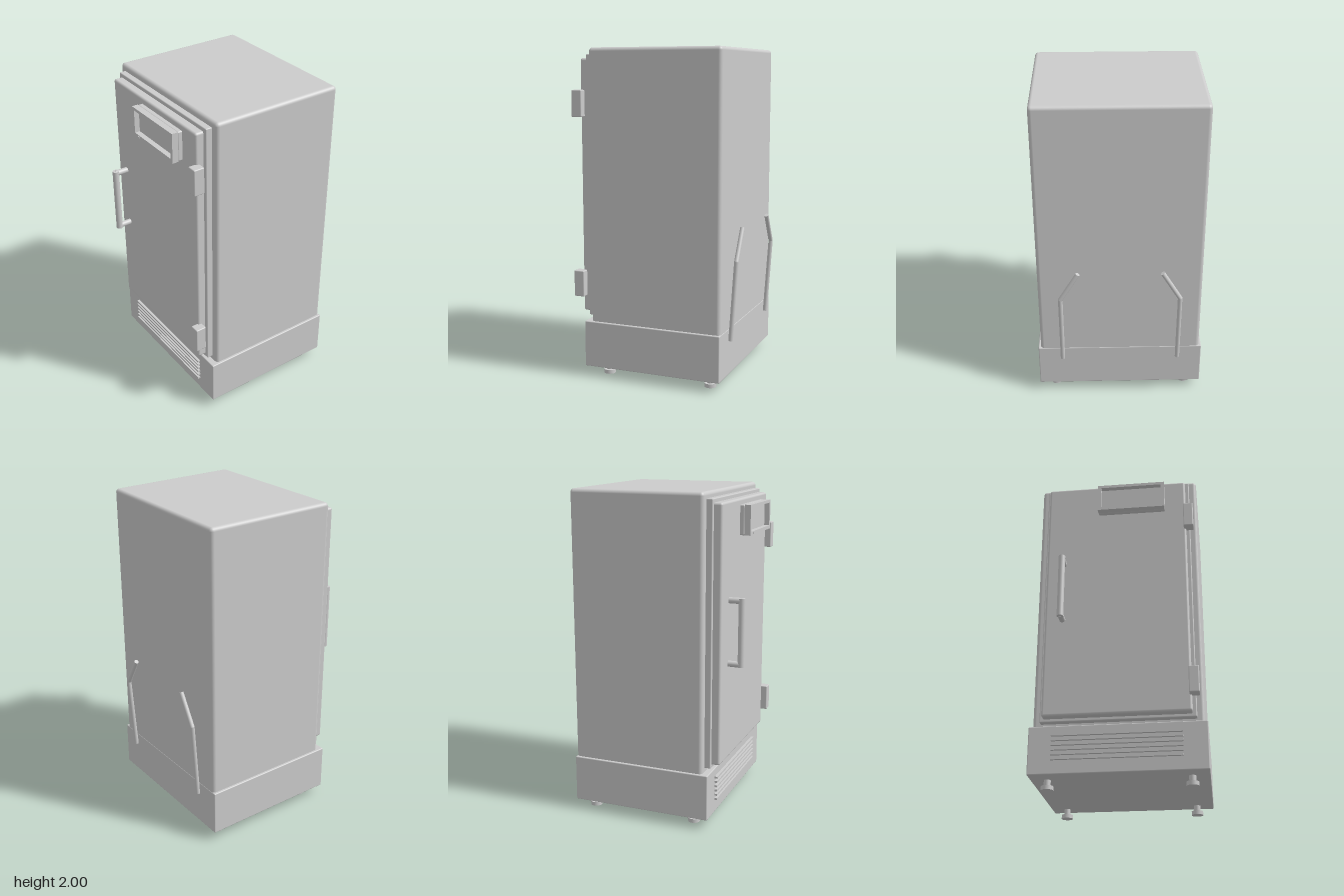
import * as THREE from 'three';
import { RoundedBoxGeometry } from 'three/addons/geometries/RoundedBoxGeometry.js';

export function createModel() {
  const group = new THREE.Group();
  const grey = new THREE.MeshStandardMaterial({ color: 0xcccccc });
  grey.name = 'light grey';

  const add = (name, geometry) => {
    const mesh = new THREE.Mesh(geometry, grey);
    mesh.name = name;
    group.add(mesh);
    return mesh;
  };
  // Box given by its limits on each axis, with rounded edges
  const box = (name, x0, x1, y0, y1, z0, z1, r) => {
    const size = [x1 - x0, y1 - y0, z1 - z0];
    const geometry = r ? new RoundedBoxGeometry(...size, 3, r) : new THREE.BoxGeometry(...size);
    add(name, geometry).position.set((x0 + x1) / 2, (y0 + y1) / 2, (z0 + z1) / 2);
  };
  // Capped round rod between two points
  const rod = (name, a, b, r) => {
    const from = new THREE.Vector3(...a), to = new THREE.Vector3(...b);
    const dir = to.clone().sub(from);
    const mesh = add(name, new THREE.CylinderGeometry(r, r, dir.length(), 24));
    mesh.position.copy(from).add(to).multiplyScalar(0.5);
    mesh.quaternion.setFromUnitVectors(new THREE.Vector3(0, 1, 0), dir.normalize());
  };
  const ball = (name, p, r) => add(name, new THREE.SphereGeometry(r, 20, 14)).position.set(...p);

  // Body
  box('cabinet', -0.5, 0.5, 0.32, 2, -0.483, 0.35, 0.022);
  box('base', -0.515, 0.515, 0.06, 0.345, -0.485, 0.39, 0.006);
  box('gasket', -0.454, 0.454, 0.37, 1.963, 0.33, 0.388, 0.006);
  box('door', -0.436, 0.431, 0.388, 1.94, 0.37, 0.439, 0.014);

  // Hinges
  for (const y of [0.485, 1.59]) box('hinge', 0.416, 0.476, y, y + 0.162, 0.413, 0.48, 0.006);

  // Door handle
  const hx = -0.327;
  rod('handleBar', [hx, 0.98, 0.527], [hx, 1.39, 0.527], 0.02);
  for (const y of [0.995, 1.375]) rod('handlePost', [hx, y, 0.449], [hx, y, 0.527], 0.018);

  // Display panel with a recessed screen
  box('displayHousing', -0.116, 0.302, 1.725, 1.905, 0.43, 0.467, 0.008);
  const frame = new THREE.Shape();
  frame.moveTo(-0.116, 1.725).lineTo(0.302, 1.725).lineTo(0.302, 1.905).lineTo(-0.116, 1.905).closePath();
  const hole = new THREE.Path();
  hole.moveTo(-0.096, 1.746).lineTo(-0.096, 1.887).lineTo(0.282, 1.887).lineTo(0.282, 1.746).closePath();
  frame.holes.push(hole);
  add('displayFrame', new THREE.ExtrudeGeometry(frame, { depth: 0.038, bevelEnabled: false })).position.z = 0.466;
  box('screen', -0.1, 0.286, 1.742, 1.891, 0.464, 0.472);
  box('indicator', -0.059, -0.047, 1.73, 1.74, 0.5, 0.508);

  // Ventilation slats
  for (let i = 0; i < 6; i++) {
    const y = 0.147 + i * 0.028;
    box('ventSlat', -0.38, 0.372, y - 0.006, y + 0.006, 0.38, 0.407);
  }

  // Levelling feet
  for (const x of [-0.417, 0.413]) {
    for (const z of [-0.395, 0.272]) {
      rod('footStem', [x, 0.015, z], [x, 0.07, z], 0.02);
      rod('footPad', [x, 0, z], [x, 0.024, z], 0.036);
    }
  }

  // Bent pipes behind the cabinet
  for (const side of [-1, 1]) {
    const bottom = [side * 0.362, 0.28, -0.503];
    const bend = [side * 0.362, 0.76, -0.534];
    const top = [side * 0.253, 0.945, -0.534];
    rod('pipeLower', bottom, bend, 0.014);
    ball('pipeElbow', bend, 0.014);
    rod('pipeUpper', bend, top, 0.014);
  }

  return group;
}
